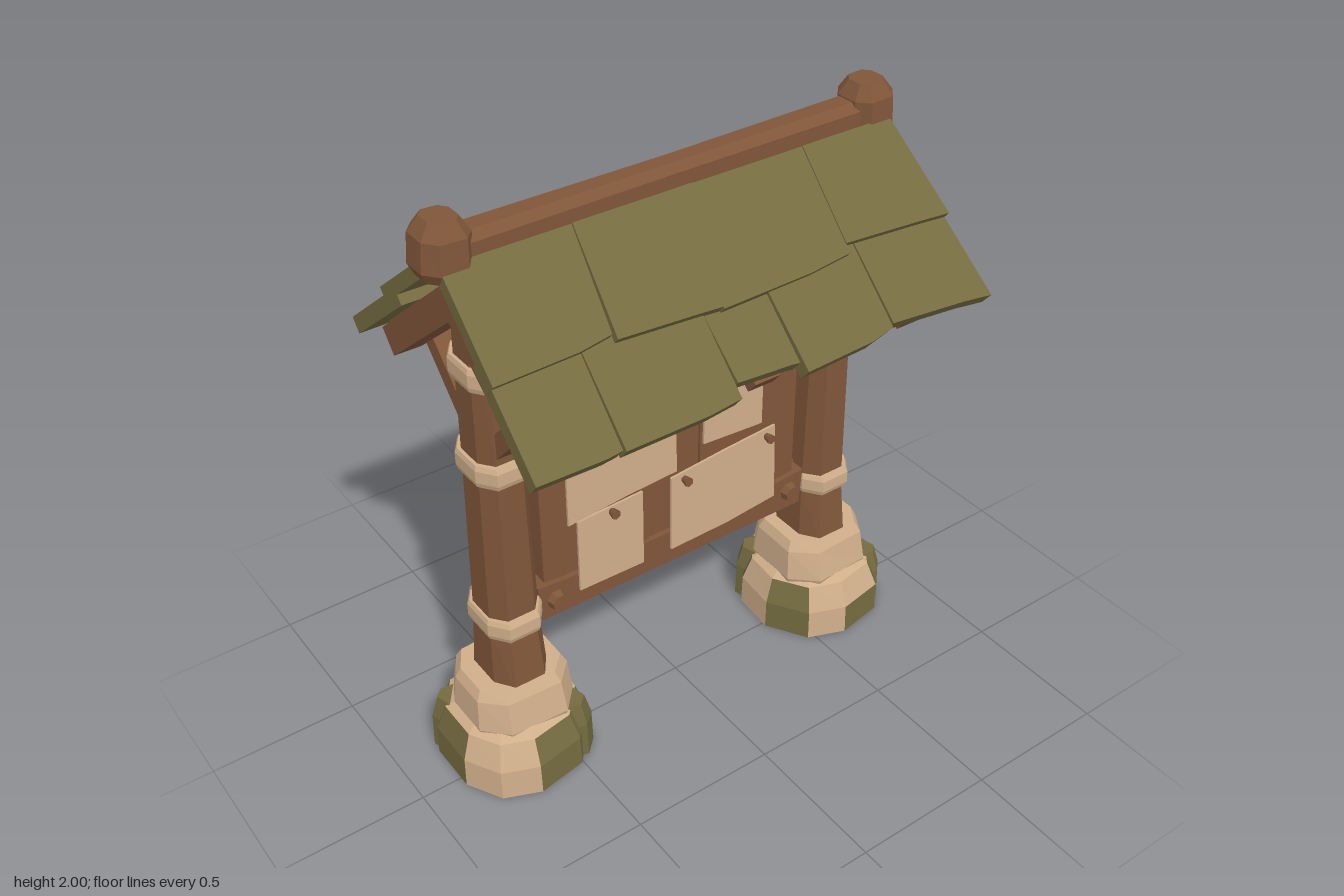
import * as THREE from 'three';

const mat = (name, color) => Object.assign(new THREE.MeshStandardMaterial({ color }), { name });

export function createModel() {
  const wood = mat('wood', 0x7f5639);
  const moss = mat('moss green', 0x746b40);
  const tan = mat('tan stone and paper', 0xcfae8a);
  const model = new THREE.Group();
  model.name = 'noticeBoard';
  const ZC = -0.045; // centre line of the posts and board

  function add(parent, name, geometry, material, x = 0, y = 0, z = 0) {
    const m = new THREE.Mesh(geometry, material);
    m.name = name;
    m.position.set(x, y, z);
    parent.add(m);
    return m;
  }

  // Faceted solid from scaled copies of one outline; levels are [y, scaleX, scaleZ]
  function loft(outline, levels, pick = () => 0) {
    const pos = [], geo = new THREE.BufferGeometry(), n = outline.length;
    const at = (i, [y, sx, sz]) => [outline[i % n][0] * sx, y, outline[i % n][1] * sz];
    const face = (index, ...corners) => {
      geo.addGroup(pos.length / 3, corners.length, index);
      corners.forEach((c) => pos.push(...c));
    };
    for (let j = 0; j < levels.length - 1; j++) {
      for (let i = 0; i < n; i++) {
        const a = at(i, levels[j]), b = at(i + 1, levels[j]);
        const c = at(i + 1, levels[j + 1]), d = at(i, levels[j + 1]);
        face(pick(i, j), a, d, c, a, c, b);
      }
    }
    const lo = levels[0], hi = levels[levels.length - 1];
    for (let i = 0; i < n; i++) {
      face(0, [0, lo[0], 0], at(i, lo), at(i + 1, lo));
      face(0, [0, hi[0], 0], at(i + 1, hi), at(i, hi));
    }
    geo.setAttribute('position', new THREE.Float32BufferAttribute(pos, 3));
    geo.computeVertexNormals();
    return geo;
  }

  // Flat plate from a corner list
  function plate(points, depth) {
    const shape = new THREE.Shape(points.map(([x, y]) => new THREE.Vector2(x, y)));
    return new THREE.ExtrudeGeometry(shape, { depth, bevelEnabled: false });
  }

  function beam(parent, name, a, b, w, d) {
    const p = new THREE.Vector3(...a), q = new THREE.Vector3(...b);
    const m = add(parent, name, new THREE.BoxGeometry(w, p.distanceTo(q), d), wood);
    m.position.copy(p).add(q).multiplyScalar(0.5);
    m.quaternion.setFromUnitVectors(new THREE.Vector3(0, 1, 0), q.sub(p).normalize());
  }

  // Adds a half and its half-turn copy
  function addTwice(half, z) {
    half.position.z = z;
    const other = half.clone();
    other.rotation.y = Math.PI;
    model.add(half, other);
  }

  const chamfer = [[1, 0.5], [0.55, 1], [-0.55, 1], [-1, 0.5], [-1, -0.5], [-0.55, -1], [0.55, -1], [1, -0.5]];

  // Stone footing, post, bands and braces of one side
  const side = new THREE.Group();
  side.name = 'postSide';
  const X = 0.625;
  const footing = [[0.235, 0.1], [0.15, 0.22], [-0.02, 0.25], [-0.15, 0.2], [-0.235, 0.06],
    [-0.22, -0.1], [-0.12, -0.22], [0.05, -0.25], [0.17, -0.2], [0.235, -0.08]];
  const mossy = { 0: [0, 1], 1: [0], 3: [0, 1], 5: [0, 1], 6: [0, 1], 9: [0, 1] };
  add(side, 'lowerStone', loft(footing, [[0, 1, 1], [0.11, 0.99, 0.98], [0.2, 0.86, 0.83], [0.23, 0.68, 0.65]],
    (i, j) => (mossy[i] && mossy[i].includes(j) ? 1 : 0)), [tan, moss], X);
  const capstone = [[0.175, 0.07], [0.12, 0.17], [-0.09, 0.18], [-0.175, 0.1], [-0.17, -0.1],
    [-0.1, -0.18], [0.1, -0.17], [0.175, -0.09]];
  add(side, 'upperStone', loft(capstone, [[0.18, 0.93, 0.93], [0.22, 1, 1], [0.33, 0.95, 0.87], [0.365, 0.85, 0.76]]), tan, X);
  // Moss lumps hugging the lower stone
  const lump = [[0.07, 0.03], [0.03, 0.07], [-0.05, 0.06], [-0.07, -0.02], [-0.02, -0.07], [0.05, -0.05]];
  for (const [x, z] of [[0.16, 0.11], [-0.14, -0.13]]) {
    add(side, 'mossLump', loft(lump, [[0, 1, 1], [0.13, 0.95, 0.95], [0.21, 0.65, 0.65]]), moss, X + x, 0, z);
  }

  add(side, 'post', loft(chamfer, [[0.34, 0.098, 0.128], [0.57, 0.088, 0.1], [1.2, 0.077, 0.093], [1.76, 0.072, 0.085]]), wood, X - 0.003);
  for (const [y, w, d] of [[0.585, 0.098, 0.122], [1.17, 0.09, 0.115], [1.495, 0.086, 0.112]]) {
    add(side, 'band', loft(chamfer, [[-0.037, w * 0.95, d * 0.95], [-0.02, w, d], [0.022, w, d], [0.037, w * 0.94, d * 0.94]]), tan, X, y);
  }
  for (const s of [-1, 1]) {
    beam(side, 'roofBrace', [X, 1.25, s * 0.07], [X, 1.53, s * 0.33], 0.07, 0.06);
  }
  beam(side, 'innerBrace', [X - 0.05, 1.27, 0], [X - 0.2, 1.52, 0], 0.05, 0.07);
  addTwice(side, ZC);

  // Board face with rails, bolts, papers and nails
  const face = new THREE.Group();
  face.name = 'boardFace';
  [-0.5, -0.3, -0.1, 0.1, 0.3].forEach((x, i) => {
    const e = 0.006 * (i % 2);
    add(face, 'plank', new THREE.BoxGeometry(0.197, 0.78, 0.036 + e), wood, x + 0.098, 0.93, 0.018 + e / 2);
  });
  const rails = [
    [[-0.535, 1.22], [-0.43, 1.215], [0.43, 1.225], [0.525, 1.21], [0.53, 1.35], [0.4, 1.36], [-0.4, 1.36], [-0.53, 1.355]],
    [[-0.525, 0.515], [0.52, 0.508], [0.53, 0.645], [0.42, 0.635], [-0.43, 0.64], [-0.535, 0.65]],
  ];
  rails.forEach((r) => add(face, 'rail', plate(r, 0.055), wood));
  for (const x of [-0.47, 0.47]) {
    for (const y of [0.58, 1.285]) {
      const bolt = new THREE.CylinderGeometry(0.028, 0.036, 0.03, 7).toNonIndexed();
      bolt.computeVertexNormals();
      add(face, 'bolt', bolt, wood, x, y, 0.066).rotation.x = Math.PI / 2;
    }
  }
  const papers = [
    [[-0.42, 0.855], [-0.2, 0.875], [-0.01, 0.885], [-0.02, 1.265], [-0.22, 1.25], [-0.42, 1.245]],
    [[0.095, 0.945], [0.33, 0.93], [0.33, 1.225], [0.1, 1.24]],
    [[-0.385, 0.575], [-0.14, 0.57], [-0.14, 0.86], [-0.385, 0.85]],
    [[-0.03, 0.57], [0.2, 0.575], [0.4, 0.595], [0.39, 0.895], [0.18, 0.88], [-0.03, 0.86]],
  ];
  papers.forEach((p, i) => add(face, 'paper', plate(p, 0.008), tan, 0, 0, i < 2 ? 0.06 : 0.056));
  for (const [x, y] of [[-0.23, 1.205], [0.22, 1.215], [-0.26, 0.84], [0.02, 0.84], [0.355, 0.865]]) {
    add(face, 'nail', new THREE.CylinderGeometry(0.017, 0.01, 0.035, 6), wood, x, y, 0.075).rotation.x = Math.PI / 2;
  }
  addTwice(face, ZC);

  // Roof slope: local y runs up the slope, local z points out of it
  const roof = new THREE.Group();
  roof.name = 'roofSlope';
  const slope = new THREE.Group();
  slope.name = 'slope';
  slope.position.y = 1.81;
  slope.rotation.x = THREE.MathUtils.degToRad(39 - 90);
  roof.add(slope);
  // Shingle rows: top left, top right, bottom left, bottom right, left end, right end, lift
  const upperRow = [
    [-0.775, -0.37, -0.79, -0.415, 0.325, 0.305, 0],
    [-0.37, 0.03, -0.41, -0.07, 0.325, 0.345, 0.006],
    [0.03, 0.43, -0.07, 0.4, 0.35, 0.33, 0.001],
    [0.43, 0.77, 0.4, 0.79, 0.3, 0.325, 0.005],
  ];
  const lowerRow = [
    [-0.785, -0.51, -0.8, -0.535, 0.6, 0.6, 0.004],
    [-0.505, -0.12, -0.525, -0.14, 0.605, 0.595, 0],
    [-0.12, 0.1, -0.125, 0.085, 0.55, 0.565, -0.006],
    [0.1, 0.44, 0.09, 0.42, 0.6, 0.575, 0.003],
    [0.445, 0.785, 0.43, 0.8, 0.565, 0.6, 0.001],
  ];
  const shingles = (name, rows, start, lift, depth) => rows.forEach(([a, b, c, d, l, r, up]) => {
    const mid = (c + d) / 2 + 0.08;
    add(slope, name, plate([[c, -l], [mid, -(l + r) / 2 - 0.004], [d, -r], [b, -start], [a, -start]], depth), moss, 0, 0, lift + up);
  });
  shingles('upperShingle', upperRow, -0.02, 0.036, 0.045);
  shingles('lowerShingle', lowerRow, 0.24, 0.008, 0.052);
  add(slope, 'sheathing', new THREE.BoxGeometry(1.46, 0.52, 0.016), wood, 0, -0.26, 0);
  for (const x of [-0.7, 0.7]) {
    add(slope, 'endRafter', new THREE.BoxGeometry(0.09, 0.55, 0.09), wood, x, -0.275, -0.045);
  }
  for (const x of [-0.56, -0.31, 0, 0.31, 0.56]) {
    add(slope, 'rafter', new THREE.BoxGeometry(0.09, 0.565, 0.05), wood, x, -0.2825, -0.025);
  }
  addTwice(roof, 0);

  // Ridge beam and its end blocks
  const ridge = loft(chamfer, [[-0.7, 0.052, 0.058], [0, 0.048, 0.052], [0.7, 0.052, 0.058]]);
  add(model, 'ridgeBeam', ridge, wood, 0, 1.895, -0.033).rotation.set(0, 0.012, Math.PI / 2);
  for (const s of [-1, 1]) {
    const block = loft(chamfer, [[-0.085, 0.06, 0.06], [-0.05, 0.078, 0.08], [0.04, 0.074, 0.078], [0.085, 0.045, 0.05]]);
    add(model, 'ridgeBlock', block, wood, s * 0.736, 1.915, -0.03 - s * 0.006).rotation.z = s * 0.05;
  }
  return model;
}
